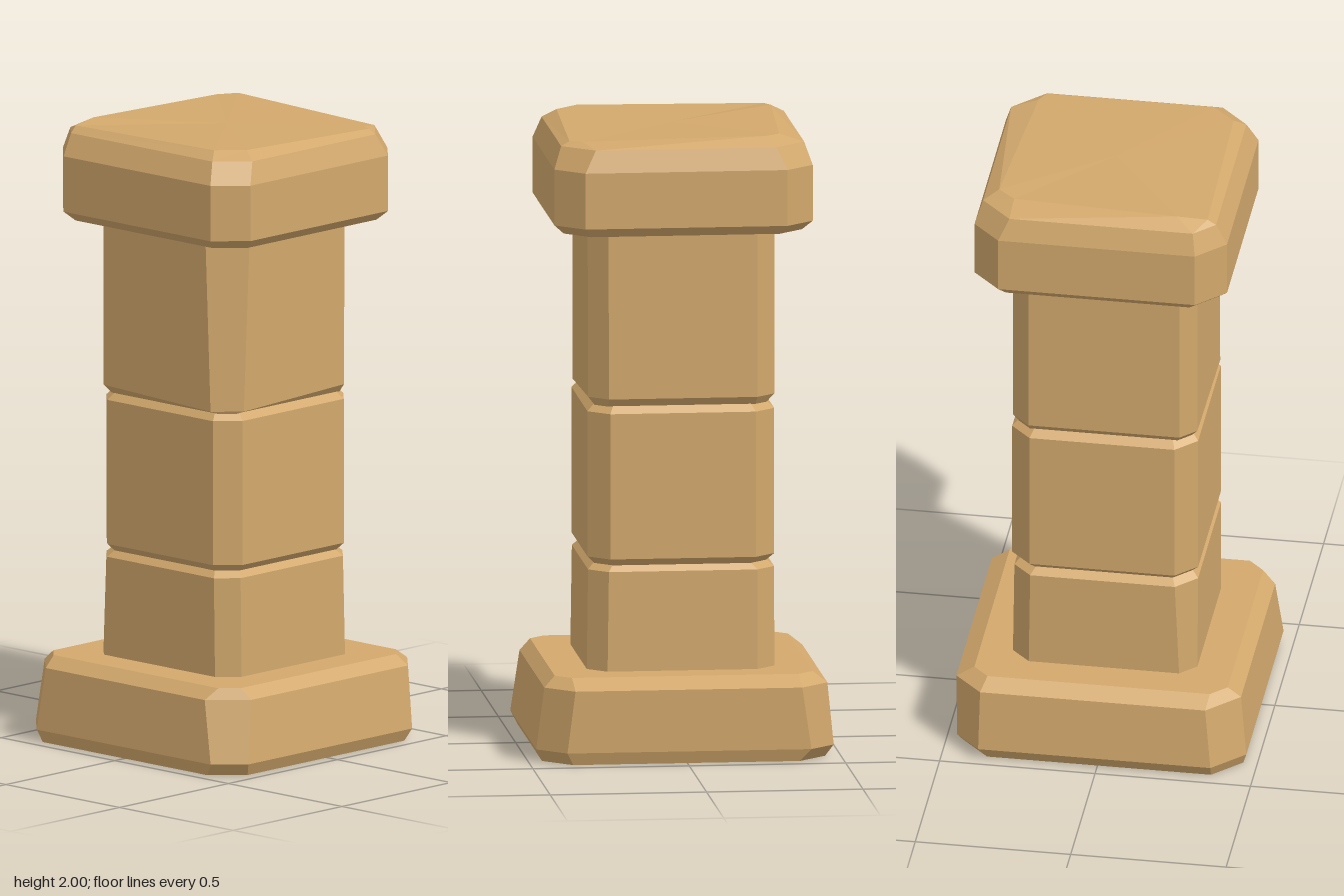
import * as THREE from 'three';

const stone = new THREE.MeshStandardMaterial({ color: 0xd2a86c });
stone.name = 'sandstone';

// Eight-sided outline: extents, then corner cuts (front left, front right, back right, back left)
function ring(y, x0, x1, z0, z1, cuts, frontRightDrop = 0) {
  const [fl, fr, br, bl] = Array.isArray(cuts) ? cuts : [cuts, cuts, cuts, cuts];
  const d = y - frontRightDrop;
  return [
    [x0 + fl, y, z1], [x1 - fr, d, z1], [x1, d, z1 - fr], [x1, y, z0 + br],
    [x1 - br, y, z0], [x0 + bl, y, z0], [x0, y, z0 + bl], [x0, y, z1 - fl],
  ];
}

// Joins outlines from bottom to top into a closed, faceted block
function block(name, rings) {
  const pos = [];
  const tri = (a, b, c) => pos.push(...a, ...b, ...c);
  const centre = (r) => [0, 1, 2].map((k) => r.reduce((s, p) => s + p[k], 0) / r.length);
  const bottom = rings[0], top = rings[rings.length - 1];
  const low = centre(bottom), high = centre(top);
  for (let i = 0; i < 8; i++) {
    const j = (i + 1) % 8;
    for (let k = 0; k < rings.length - 1; k++) {
      const a = rings[k], b = rings[k + 1];
      tri(a[i], a[j], b[j]);
      tri(a[i], b[j], b[i]);
    }
    tri(low, bottom[j], bottom[i]);
    tri(high, top[i], top[j]);
  }
  const geo = new THREE.BufferGeometry();
  geo.setAttribute('position', new THREE.Float32BufferAttribute(pos, 3));
  geo.computeVertexNormals();
  const mesh = new THREE.Mesh(geo, stone);
  mesh.name = name;
  return mesh;
}

export function createModel() {
  const group = new THREE.Group();
  group.name = 'stonePillar';

  // Flared foot with worn corners
  group.add(block('base', [
    ring(0, -0.45, 0.455, -0.445, 0.455, 0.09),
    ring(0.04, -0.475, 0.475, -0.46, 0.467, [0.1, 0.085, 0.09, 0.08]),
    ring(0.24, -0.455, 0.45, -0.467, 0.447, [0.1, 0.105, 0.09, 0.09]),
    ring(0.275, -0.41, 0.415, -0.41, 0.405, 0.05),
  ]));

  // Three shaft blocks separated by shallow bevelled joints
  group.add(block('lowerShaft', [
    ring(0.25, -0.3, 0.3, -0.305, 0.29, [0.05, 0.06, 0.06, 0.06]),
    ring(0.595, -0.3, 0.295, -0.3, 0.29, [0.065, 0.06, 0.06, 0.06]),
    ring(0.616, -0.275, 0.275, -0.28, 0.27, 0.055),
  ]));
  group.add(block('middleShaft', [
    ring(0.614, -0.275, 0.275, -0.285, 0.27, 0.055),
    ring(0.637, -0.3, 0.297, -0.308, 0.29, 0.066),
    ring(1.105, -0.3, 0.297, -0.308, 0.29, 0.066),
    ring(1.128, -0.275, 0.275, -0.285, 0.27, 0.055),
  ]));
  group.add(block('upperShaft', [
    ring(1.126, -0.275, 0.275, -0.285, 0.27, 0.04),
    ring(1.152, -0.3, 0.295, -0.305, 0.29, [0.05, 0.075, 0.06, 0.06], 0.018),
    ring(1.71, -0.3, 0.297, -0.305, 0.29, [0.05, 0.1, 0.06, 0.06]),
  ]));

  // Heavy capstone with a slightly uneven top
  group.add(block('cap', [
    ring(1.69, -0.382, 0.38, -0.385, 0.365, 0.08),
    ring(1.72, -0.414, 0.412, -0.415, 0.397, 0.09),
    ring(1.9, -0.414, 0.412, -0.415, 0.397, 0.09),
    ring(1.97, -0.39, 0.387, -0.393, 0.362, [0.065, 0.09, 0.1, 0.1]),
    [
      [-0.33, 1.99, 0.335], [0.27, 1.997, 0.325], [0.342, 1.997, 0.25], [0.36, 1.985, -0.29],
      [0.32, 1.985, -0.31], [-0.265, 2, -0.345], [-0.31, 1.997, -0.29], [-0.342, 2, 0.24],
    ],
  ]));

  return group;
}
